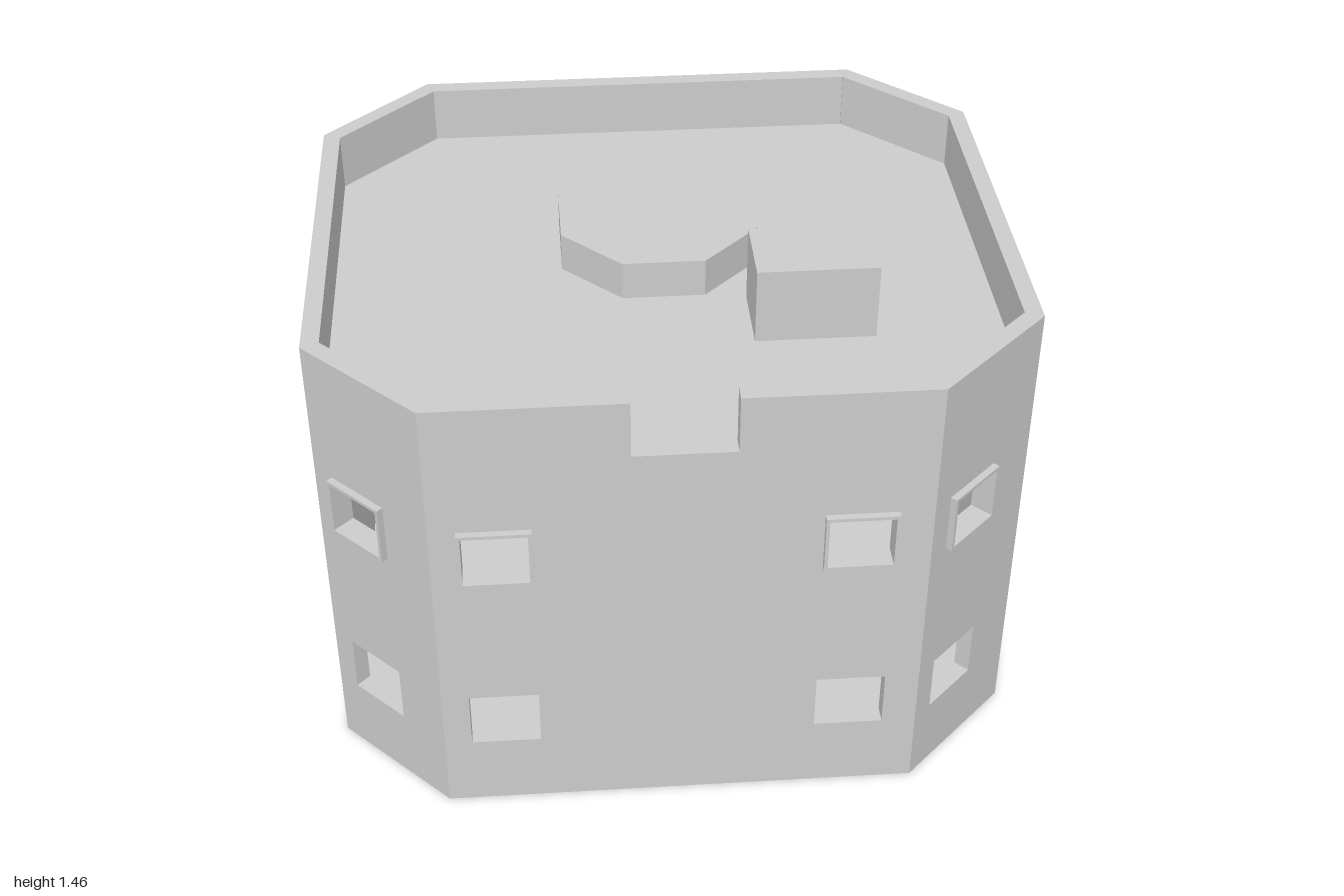
import * as THREE from 'three';

const T = 0.05; // wall thickness
const H = 1.4; // parapet top
const ROOF = 1.23; // roof deck level
const MITRE = Math.tan(Math.PI / 8);

// Plan corners [x, z], anticlockwise seen from above, starting with the front wall
const PLAN = [
  [-0.69, 0.88], [0.66, 0.88], [0.98, 0.57], [0.98, -0.57],
  [0.66, -0.88], [-0.69, -0.88], [-1, -0.57], [-1, 0.57],
];
const INNER = [
  [-0.67, 0.83], [0.64, 0.83], [0.93, 0.55], [0.93, -0.55],
  [0.64, -0.83], [-0.67, -0.83], [-0.95, -0.55], [-0.95, 0.55],
];

// Window positions are measured along each wall from its left end, seen outside
const WALLS = [
  { name: 'frontWall', lower: [0.175, 1.155], upper: [0.175, 1.155], notch: [0.54, 0.82] },
  { name: 'frontRightCorner', lower: [0.17], upper: [0.17] },
  { name: 'rightWall', lower: [0.17, 0.97], upper: [0.17, 0.97] },
  { name: 'backRightCorner', lower: [0.17], upper: [0.17] },
  { name: 'backWall', lower: [0.165, 1.175], upper: [0.165, 1.175], openings: [[0.48, 0.87, 0.03, 0.5]] },
  { name: 'backLeftCorner', lower: [0.17], upper: [0.17] },
  { name: 'leftWall', lower: [0.17, 0.97], upper: [], openings: [[0.4, 0.74, 0.77, 0.98]] },
  { name: 'frontLeftCorner', lower: [0.17], upper: [0.17] },
];

function polygon(points) {
  return new THREE.Shape(points.map(([x, y]) => new THREE.Vector2(x, y)));
}

function rect(x0, x1, y0, y1) {
  return polygon([[x0, y0], [x1, y0], [x1, y1], [x0, y1]]);
}

function extrude(shape, depth) {
  return new THREE.ExtrudeGeometry(shape, { depth, bevelEnabled: false });
}

// Horizontal slab from a plan outline
function slab(plan, y0, y1) {
  const geo = extrude(polygon(plan.map(([x, z]) => [x, -z])), y1 - y0);
  return geo.rotateX(-Math.PI / 2).translate(0, y0, 0);
}

// Wall panel: outer face at z = 0, inner face mitred to meet its neighbours
function wallGeometry(length, wall) {
  const outline = [[0, 0], [length, 0], [length, H]];
  if (wall.notch) {
    const [a, b] = wall.notch;
    outline.push([b, H], [b, ROOF], [a, ROOF], [a, H]);
  }
  outline.push([0, H]);
  const shape = polygon(outline);
  for (const u of wall.lower) shape.holes.push(rect(u - 0.098, u + 0.098, 0.225, 0.4));
  for (const u of wall.upper) shape.holes.push(rect(u - 0.1, u + 0.1, 0.825, 1.003));
  for (const o of wall.openings || []) shape.holes.push(rect(...o));
  const geo = extrude(shape, T).translate(0, 0, -T);
  const pos = geo.attributes.position;
  for (let i = 0; i < pos.count; i++) {
    if (pos.getZ(i) > -T / 2) continue;
    const x = pos.getX(i);
    if (x < 1e-4) pos.setX(i, T * MITRE);
    else if (x > length - 1e-4) pos.setX(i, length - T * MITRE);
  }
  geo.computeVertexNormals();
  return geo;
}

// Projecting frame lining an upper window
function frameGeometry() {
  const shape = rect(-0.1, 0.1, 0.825, 1.003);
  shape.holes.push(rect(-0.09, 0.09, 0.835, 0.993));
  return extrude(shape, T + 0.02).translate(0, 0, -T);
}

export function createModel() {
  const model = new THREE.Group();
  model.name = 'octagonalBuilding';
  const grey = new THREE.MeshStandardMaterial({ color: 0xcccccc });
  grey.name = 'paleGrey';

  const add = (name, geo, parent = model) => {
    const mesh = new THREE.Mesh(geo, grey);
    mesh.name = name;
    parent.add(mesh);
    return mesh;
  };

  // Eight walls with their window frames
  const frame = frameGeometry();
  WALLS.forEach((wall, i) => {
    const [ax, az] = PLAN[i];
    const [bx, bz] = PLAN[(i + 1) % PLAN.length];
    const group = new THREE.Group();
    group.name = wall.name;
    group.position.set(ax, 0, az);
    group.rotation.y = Math.atan2(az - bz, bx - ax);
    add('wallPanel', wallGeometry(Math.hypot(bx - ax, bz - az), wall), group);
    for (const u of wall.upper) add('windowFrame', frame, group).position.x = u;
    model.add(group);
  });

  // Ground floor and roof deck
  add('groundFloor', slab(INNER, 0, 0.03));
  add('roofDeck', slab(INNER, ROOF - 0.05, ROOF));

  // Raised octagon and box on the roof
  const octagon = new THREE.CylinderGeometry(0.309, 0.309, 0.115, 8, 1, false, Math.PI / 8).toNonIndexed();
  octagon.computeVertexNormals();
  add('roofOctagon', octagon).position.set(-0.01, ROOF + 0.0575, -0.143);
  add('roofBox', new THREE.BoxGeometry(0.34, 0.225, 0.225)).position.set(0.395, ROOF + 0.1125, 0.273);

  return model;
}
